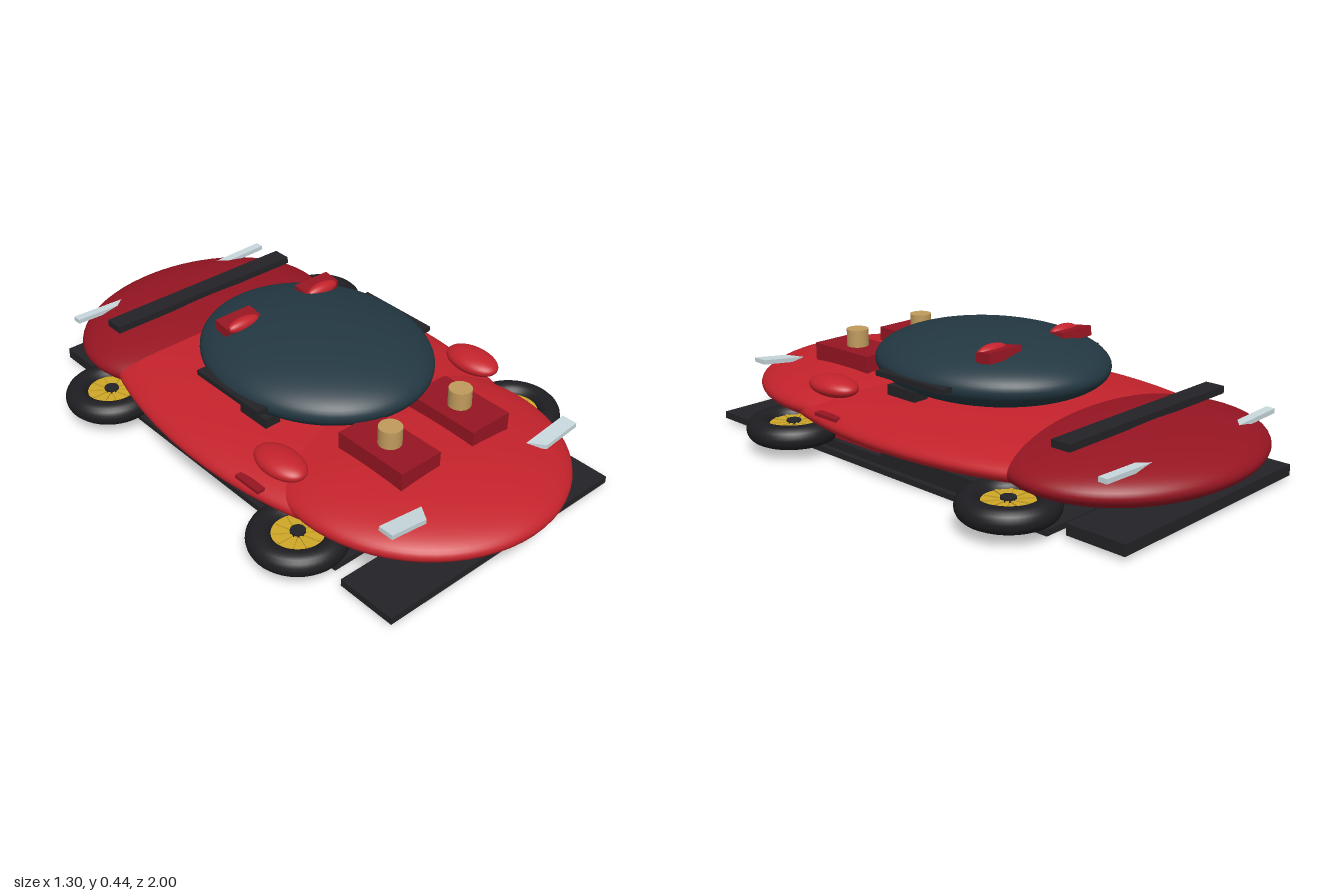
import * as THREE from 'three';

const mat = (color) => new THREE.MeshStandardMaterial({ color });
const red = mat(0xc4222b), darkRed = mat(0x961522), black = mat(0x232327), tyreBlack = mat(0x1e1e22);
const glass = mat(0x233842), tan = mat(0xc09a5c), gold = mat(0xd0a828), chrome = mat(0xc8d8dc);

function add(parent, name, geometry, material, x, y, z) {
  const mesh = new THREE.Mesh(geometry, material);
  mesh.name = name;
  mesh.position.set(x, y, z);
  parent.add(mesh);
  return mesh;
}
const box = (p, name, m, [w, h, d], [x, y, z]) => add(p, name, new THREE.BoxGeometry(w, h, d), m, x, y, z);

function ellipsoid(p, name, m, [rx, ry, rz], [x, y, z]) {
  const geometry = new THREE.SphereGeometry(1, 64, 40).scale(rx, ry, rz);
  return add(p, name, geometry, m, x, y, z);
}

// Lamp strip: plan outline of [x, z] corners, extruded upward
function lamp(p, name, corners, y, height, tilt, side) {
  const shape = new THREE.Shape(corners.map(([x, z]) => new THREE.Vector2(x * side, -z)));
  const geometry = new THREE.ExtrudeGeometry(shape, { depth: height, bevelEnabled: false });
  geometry.rotateX(-Math.PI / 2);
  // Raise the strip toward its outer end
  const pos = geometry.attributes.position;
  for (let i = 0; i < pos.count; i++) {
    pos.setY(i, pos.getY(i) + (Math.abs(pos.getX(i)) - 0.33) * tilt);
  }
  geometry.computeVertexNormals();
  add(p, name, geometry, chrome, 0, y, 0);
}

// Wheel lying flat, with its axle upright
function wheel(name, x, z) {
  const g = new THREE.Group();
  g.name = name;
  g.position.set(x, 0.08, z);
  add(g, 'tyre', new THREE.TorusGeometry(0.121, 0.041, 20, 48).rotateX(Math.PI / 2), tyreBlack, 0, 0, 0);
  add(g, 'rim', new THREE.CylinderGeometry(0.086, 0.086, 0.03, 40), gold, 0, 0, 0);
  add(g, 'hub', new THREE.CylinderGeometry(0.025, 0.025, 0.052, 20), black, 0, 0, 0);
  for (let i = 0; i < 10; i++) {
    const a = (i / 10) * Math.PI * 2;
    const spoke = box(g, 'spoke', gold, [0.055, 0.04, 0.01], [Math.cos(a) * 0.05, 0, -Math.sin(a) * 0.05]);
    spoke.rotation.y = a;
  }
  return g;
}

export function createModel() {
  const car = new THREE.Group();
  car.name = 'car';

  // Body shells
  ellipsoid(car, 'mainBody', red, [0.545, 0.1, 0.97], [0, 0.145, -0.01]).rotation.x = 0.018;
  ellipsoid(car, 'nose', red, [0.485, 0.1, 0.495], [0, 0.15, 0.5]);
  ellipsoid(car, 'tail', darkRed, [0.49, 0.1, 0.385], [0, 0.155, -0.615]);
  ellipsoid(car, 'canopy', glass, [0.37, 0.117, 0.43], [0, 0.315, 0.005]);

  // Underside
  box(car, 'floor', black, [0.9, 0.02, 1.25], [0, 0.01, -0.02]);
  box(car, 'floorUpper', black, [0.86, 0.03, 1.08], [0, 0.033, -0.02]);
  box(car, 'frontSplitter', black, [0.98, 0.025, 0.215], [0, 0.027, 0.782]);
  box(car, 'rearDiffuser', black, [0.86, 0.038, 0.215], [0, 0.034, -0.808]);
  box(car, 'rearSpoiler', black, [0.78, 0.025, 0.07], [0, 0.263, -0.64]);

  for (const side of [1, -1]) {
    const label = side > 0 ? 'left' : 'right';
    const g = new THREE.Group();
    g.name = label + 'Details';
    car.add(g);

    g.add(wheel(label + 'FrontWheel', side * 0.49, 0.48));
    g.add(wheel(label + 'RearWheel', side * 0.49, -0.53));

    // Sills and side trim
    box(g, 'sill', black, [0.06, 0.05, 0.64], [side * 0.41, 0.06, -0.23]);
    box(g, 'frontSill', darkRed, [0.06, 0.035, 0.28], [side * 0.4, 0.077, 0.23]);
    box(g, 'doorHandle', darkRed, [0.03, 0.012, 0.11], [side * 0.505, 0.168, 0.27]);

    // Canopy trim
    box(g, 'canopyTrim', black, [0.05, 0.018, 0.315], [side * 0.36, 0.314, 0.008]);
    box(g, 'canopyVent', black, [0.06, 0.035, 0.13], [side * 0.315, 0.25, 0.09]);

    ellipsoid(g, 'mirror', red, [0.064, 0.036, 0.105], [side * 0.43, 0.246, 0.33]);

    // Hood pods with short stacks
    box(g, 'hoodPod', darkRed, [0.165, 0.1, 0.28], [side * 0.155, 0.245, 0.522]);
    add(g, 'stack', new THREE.CylinderGeometry(0.039, 0.039, 0.08, 32), tan, side * 0.155, 0.317, 0.525);

    // Roof scoops
    box(g, 'roofScoop', darkRed, [0.145, 0.035, 0.065], [side * 0.175, 0.405, -0.193]).rotation.x = 0.15;
    ellipsoid(g, 'scoopLip', red, [0.065, 0.025, 0.025], [side * 0.175, 0.41, -0.163]);

    // Lamps
    lamp(g, 'headlight', [[0.235, 0.745], [0.27, 0.8], [0.41, 0.8], [0.41, 0.745]].map(
      ([x, z]) => [x, z]), 0.22, 0.016, 0.13, side);
    lamp(g, 'tailLight', [[0.2, -0.845], [0.26, -0.813], [0.43, -0.813], [0.43, -0.845]], 0.208, 0.016, 0.03, side);
  }
  return car;
}
